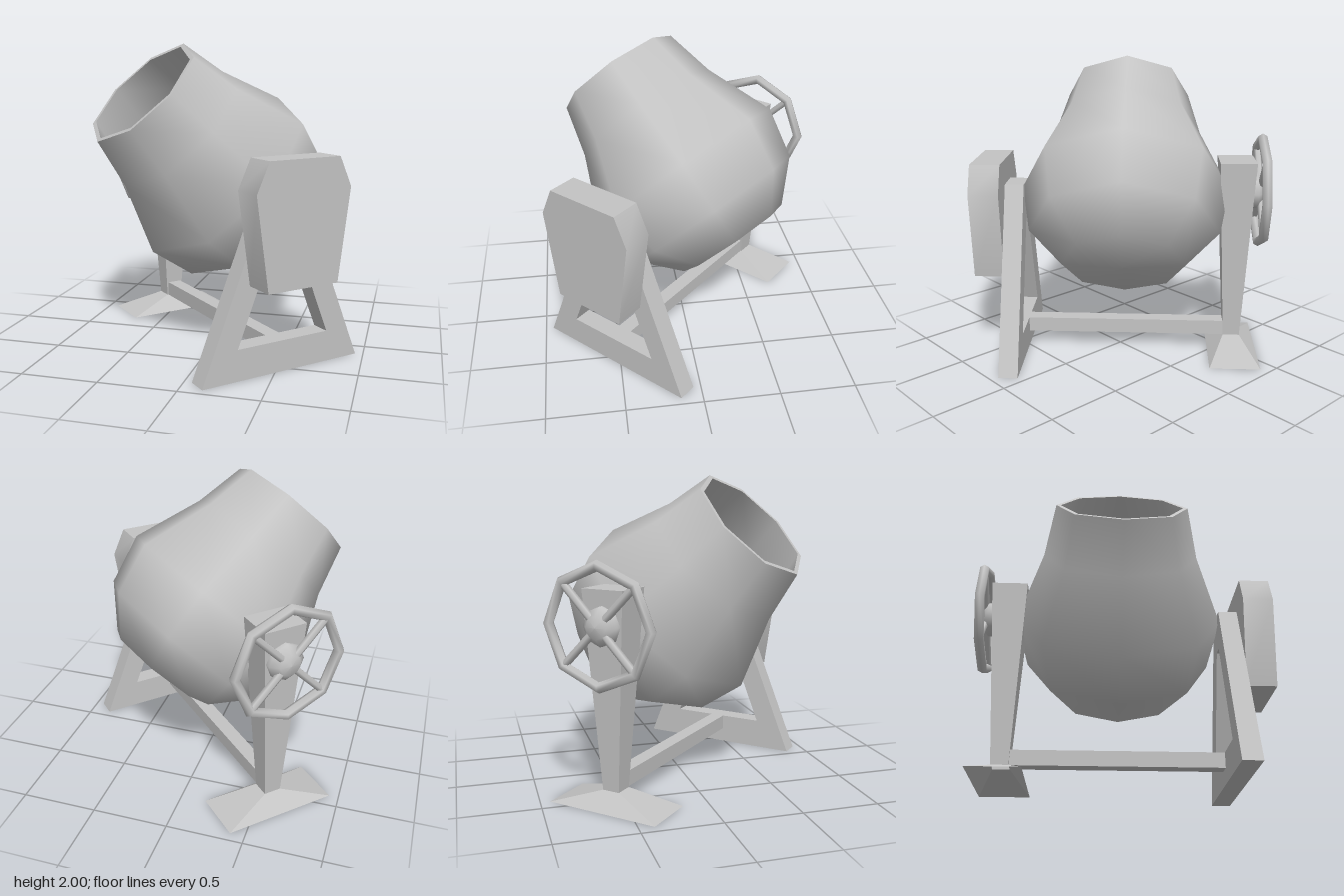
import * as THREE from 'three';
import { toCreasedNormals } from 'three/addons/utils/BufferGeometryUtils.js';

const gray = new THREE.MeshStandardMaterial({ color: 0xc4c4c4, side: THREE.DoubleSide });

function add(parent, name, geometry) {
  const mesh = new THREE.Mesh(geometry, gray);
  mesh.name = name;
  parent.add(mesh);
  return mesh;
}

// Plate with an outline in (z, y), running from x0 to x1
function plate(outline, x0, x1, hole) {
  const toPoints = (list) => list.map(([a, b]) => new THREE.Vector2(a, b));
  const shape = new THREE.Shape(toPoints(outline));
  if (hole) shape.holes.push(new THREE.Path(toPoints(hole)));
  const g = new THREE.ExtrudeGeometry(shape, { depth: x1 - x0, bevelEnabled: false });
  return g.rotateY(Math.PI / 2).translate(x0, 0, 0);
}

// Skin over rectangular sections [y, x0, x1, half width in z], open below and closed on top
function loft(sections) {
  const rings = sections.map(([y, x0, x1, w]) =>
    [[x0, y, w], [x1, y, w], [x1, y, -w], [x0, y, -w]]);
  const pos = [];
  const quad = (a, b, c, d) => pos.push(...a, ...b, ...c, ...a, ...c, ...d);
  for (let k = 0; k < rings.length - 1; k++) {
    for (let i = 0; i < 4; i++) {
      const j = (i + 1) % 4;
      quad(rings[k][i], rings[k][j], rings[k + 1][j], rings[k + 1][i]);
    }
  }
  quad(...rings[rings.length - 1]);
  const g = new THREE.BufferGeometry();
  g.setAttribute('position', new THREE.Float32BufferAttribute(pos, 3));
  g.computeVertexNormals();
  return g;
}

// Eight-sided turned skin, profile given as [radius, height]
const turned = (profile) =>
  new THREE.LatheGeometry(profile.map(([r, y]) => new THREE.Vector2(r, y)), 8);

export function createModel() {
  const model = new THREE.Group();
  model.name = 'concreteMixer';
  const body = new THREE.Group();
  body.name = 'mixerBody';
  body.rotation.y = -Math.PI / 4;
  model.add(body);

  // Tilted drum, hung from its mouth
  const drum = new THREE.Group();
  drum.name = 'drum';
  drum.position.set(-0.035, 1.7, 0.562);
  drum.rotation.x = Math.PI / 4;
  body.add(drum);
  add(drum, 'drumShell', turned([
    [0, -1.39], [0.4, -1.366], [0.63, -1.127], [0.7, -0.79], [0.51, -0.335], [0.43, 0]]));
  add(drum, 'drumRim', turned([[0.43, 0], [0.4, 0]]));
  add(drum, 'drumInside', turned([
    [0.4, 0], [0.48, -0.335], [0.67, -0.79], [0.6, -1.11], [0.38, -1.33], [0, -1.35]]));

  // A-shaped stand on the motor side
  add(body, 'aFrame', plate(
    [[-0.573, 0], [0.573, 0], [0.1, 1.18], [-0.1, 1.18]], 0.643, 0.77,
    [[-0.33, 0.2], [0.33, 0.2], [0.04, 0.93], [-0.04, 0.93]]));

  // Motor housing
  add(body, 'motorHousing', toCreasedNormals(plate(
    [[-0.248, 0.58], [0.248, 0.58], [0.333, 1.16], [0.248, 1.345], [-0.248, 1.345], [-0.333, 1.16]],
    0.77, 0.968), 0.9));

  // Post with spreading foot on the wheel side
  add(body, 'postAndFoot', loft([
    [0, -0.95, -0.612, 0.378], [0.1, -0.835, -0.722, 0.057], [1.345, -0.9, -0.66, 0.142]]));

  // Beam joining the two stands
  const beam = add(body, 'crossBeam', new THREE.BoxGeometry(1.37, 0.1, 0.1));
  beam.position.set(-0.035, 0.15, 0);

  // Tilting hand wheel
  const wheel = new THREE.Group();
  wheel.name = 'handWheel';
  wheel.position.set(-0.942, 1.13, 0);
  wheel.rotation.y = -Math.PI / 2;
  body.add(wheel);
  add(wheel, 'wheelRing', new THREE.TorusGeometry(0.357, 0.034, 6, 8));
  for (let i = 0; i < 4; i++) {
    const spoke = add(wheel, 'wheelSpoke',
      new THREE.CylinderGeometry(0.025, 0.025, 0.34, 6).translate(0, 0.18, 0));
    spoke.rotation.z = Math.PI / 4 + i * Math.PI / 2;
  }
  add(wheel, 'wheelHub', turned([[0.12, -0.08], [0.12, -0.02], [0.07, 0.025], [0, 0.035]])
    .rotateX(Math.PI / 2));

  return model;
}
